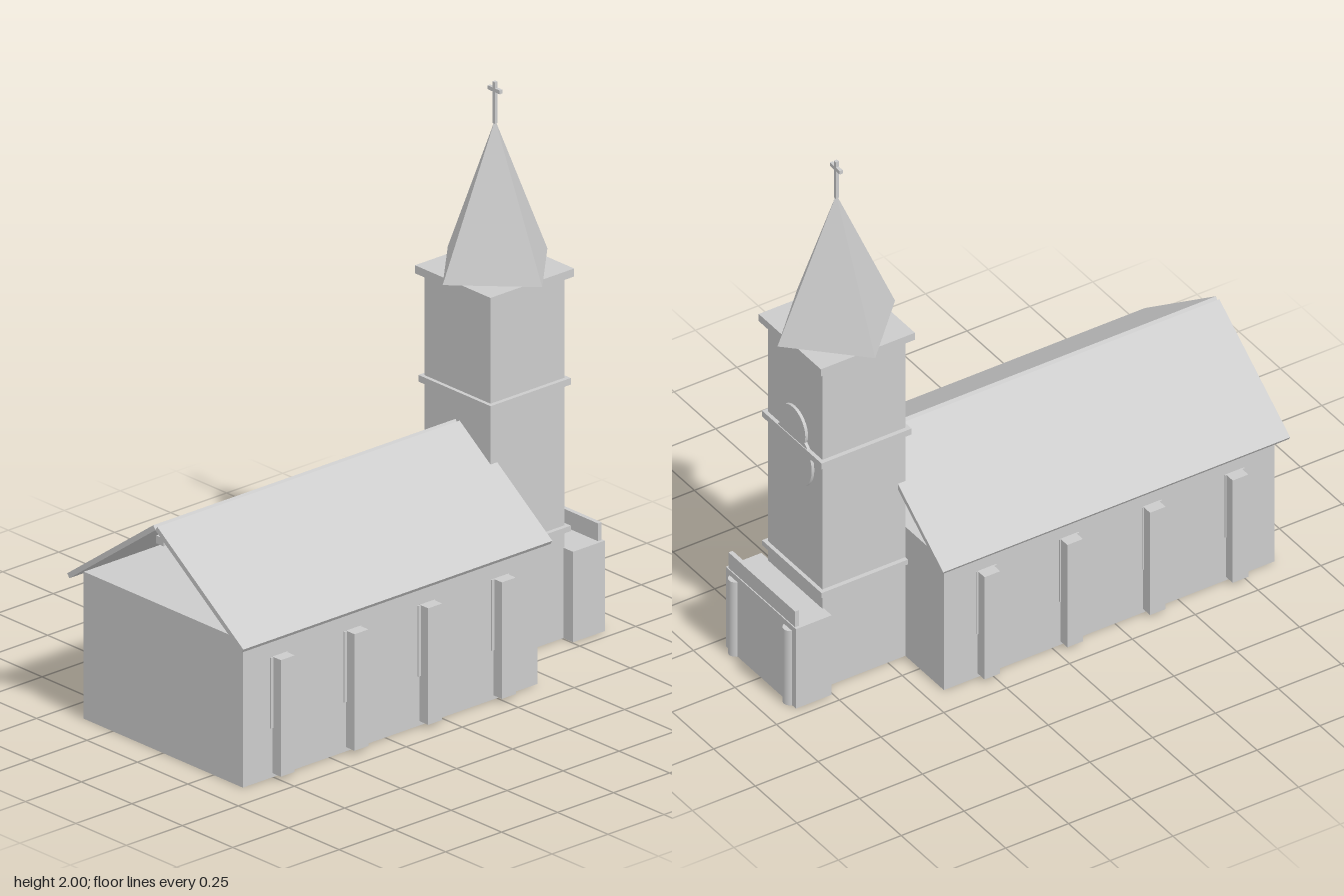
import * as THREE from 'three';

export function createModel() {
  const church = new THREE.Group();
  church.name = 'church';
  const material = new THREE.MeshStandardMaterial({ color: 0xcccccc });
  const flat = new THREE.MeshStandardMaterial({ color: 0xcccccc, flatShading: true });

  function add(name, geometry, x, y, z, mat = material) {
    const mesh = new THREE.Mesh(geometry, mat);
    mesh.name = name;
    mesh.position.set(x, y, z);
    church.add(mesh);
    return mesh;
  }

  // Box given by its extents along each axis
  const block = (name, x0, x1, y0, y1, z0, z1) =>
    add(name, new THREE.BoxGeometry(x1 - x0, y1 - y0, z1 - z0),
      (x0 + x1) / 2, (y0 + y1) / 2, (z0 + z1) / 2);

  // Nave and ridge beam
  block('nave', -0.395, 0.395, 0, 0.53, -0.43, 0.885);
  block('ridgeBeam', -0.018, 0.018, 0.755, 0.783, -0.44, 0.9);

  for (const side of [-1, 1]) {
    // Sloping roof panel, open at the gables
    const panel = add('roofPanel', new THREE.BoxGeometry(0.526, 0.018, 1.38), side * 0.218, 0.667, 0.23);
    panel.rotation.z = -side * Math.atan2(0.308, 0.427);

    // Buttresses in front of thin window panels
    for (let i = 0; i < 4; i++) {
      const z = 0.722 - i * 0.329;
      add('buttress', new THREE.BoxGeometry(0.05, 0.42, 0.062), side * 0.412, 0.225, z);
      add('windowPanel', new THREE.BoxGeometry(0.02, 0.255, 0.078), side * 0.39, 0.307, z + 0.003);
    }

    // Porch columns
    add('porchColumn', new THREE.CylinderGeometry(0.025, 0.025, 0.305, 16), side * 0.164, 0.1525, -0.89);
  }

  // Tower with two string courses and a cornice
  const towerZ = -0.595;
  block('tower', -0.163, 0.163, 0, 1.31, towerZ - 0.165, towerZ + 0.165);
  for (const [name, half, y0, y1] of [
    ['lowerBand', 0.179, 0.385, 0.405],
    ['middleBand', 0.179, 0.913, 0.937],
    ['cornice', 0.187, 1.303, 1.332],
  ]) block(name, -half, half, y0, y1, towerZ - half, towerZ + half);

  // Spire set diagonally on the tower
  add('spire', new THREE.ConeGeometry(0.234, 0.53, 4), 0, 1.597, -0.597, flat);

  // Cross
  block('crossPost', -0.006, 0.006, 1.85, 2, -0.603, -0.591);
  block('crossArm', -0.03, 0.03, 1.964, 1.978, -0.603, -0.591);

  // Round plates on the back of the tower
  for (const [name, radius, y] of [['lowerDisc', 0.115, 0.865], ['upperDisc', 0.077, 0.983]]) {
    const disc = add(name, new THREE.CylinderGeometry(radius, radius, 0.02, 32), 0, y, -0.761);
    disc.rotation.x = Math.PI / 2;
  }

  // Porch and its parapet
  block('porch', -0.211, 0.211, 0, 0.326, -0.897, -0.755);
  block('porchParapet', -0.2, 0.2, 0.32, 0.39, -0.893, -0.877);

  return church;
}
